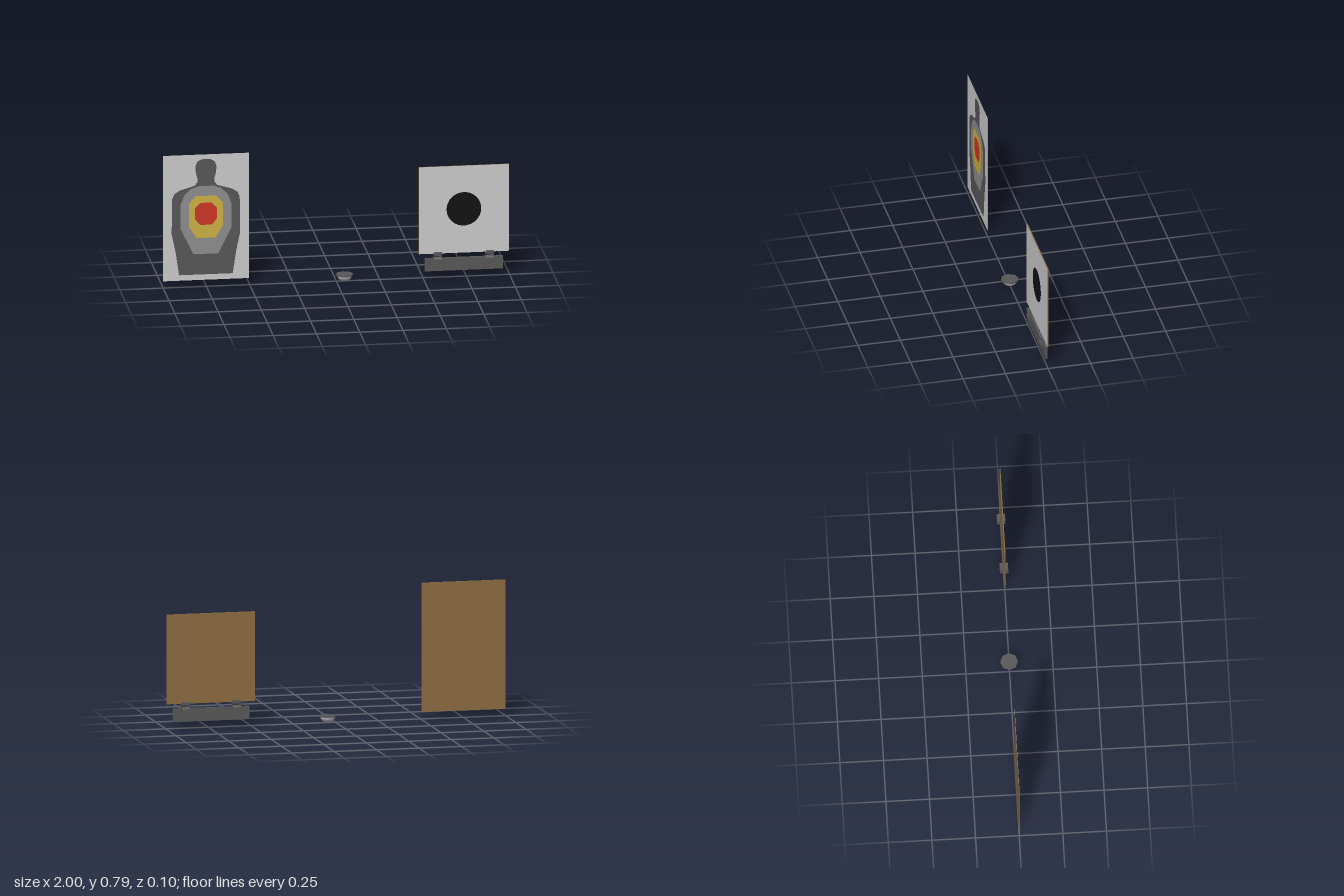
import * as THREE from 'three';

const mat = (name, color, side = THREE.FrontSide) => {
  const m = new THREE.MeshStandardMaterial({ color, side });
  m.name = name;
  return m;
};

export function createModel() {
  const card = mat('paper grey', 0xcacaca);
  const wood = mat('cardboard brown', 0x8b6a3e);
  const dark = mat('dark grey', 0x575757);
  const mid = mat('middle grey', 0x8e8e8e);
  const yellow = mat('yellow', 0xcbb142);
  const red = mat('red', 0xcd3626);
  const black = mat('black', 0x101010);
  const metal = mat('light metal', 0xb8b8b8);

  const root = new THREE.Group();
  const add = (parent, name, geo, material, x = 0, y = 0, z = 0) => {
    const m = new THREE.Mesh(geo, material);
    m.name = name;
    m.position.set(x, y, z);
    parent.add(m);
    return m;
  };
  const group = (name) => {
    const g = new THREE.Group();
    g.name = name;
    root.add(g);
    return g;
  };
  // Outline mirrored about its vertical axis, listed from top to bottom
  const mirrored = (half) => new THREE.Shape([
    ...half.map(([x, y]) => new THREE.Vector2(-x, y)),
    ...half.slice().reverse().map(([x, y]) => new THREE.Vector2(x, y)),
  ]);
  // Sheet with paper front and cardboard back
  const sheet = (parent, w, h, d, edge, x, y) =>
    add(parent, 'board', new THREE.BoxGeometry(w, h, d), [edge, edge, edge, edge, card, wood], x, y, 0);

  // Silhouette target with nested scoring zones
  const silhouette = group('silhouetteTarget');
  sheet(silhouette, 0.495, 0.75, 0.002, mid, -0.7525, 0.415);
  const zones = [
    ['bodySilhouette', dark, [
      [0.025, 0.762], [0.05, 0.748], [0.061, 0.72], [0.058, 0.68], [0.048, 0.645],
      [0.048, 0.627], [0.065, 0.606], [0.15, 0.58], [0.182, 0.56], [0.195, 0.53],
      [0.198, 0.32], [0.175, 0.21], [0.155, 0.073]]],
    ['outerZone', mid, [
      [0.04, 0.602], [0.085, 0.588], [0.125, 0.55], [0.148, 0.49],
      [0.148, 0.35], [0.115, 0.285], [0.072, 0.196]]],
    ['middleZone', yellow, [[0.06, 0.543], [0.097, 0.5], [0.097, 0.36], [0.055, 0.292]]],
    ['centreZone', red, [[0.034, 0.502], [0.063, 0.47], [0.063, 0.405], [0.034, 0.37]]],
  ];
  zones.forEach(([name, material, half], i) =>
    add(silhouette, name, new THREE.ShapeGeometry(mirrored(half)), material, -0.753, 0, 0.0018 + i * 0.0008));

  // Square target with a round bullseye
  const square = group('squareTarget');
  sheet(square, 0.52, 0.52, 0.006, wood, 0.736, 0.402);
  add(square, 'bullseye', new THREE.CircleGeometry(0.1, 40), black, 0.736, 0.404, 0.004);

  // Rail and the two double-ended clips
  const holder = group('targetHolder');
  add(holder, 'rail', new THREE.BoxGeometry(0.45, 0.076, 0.014), dark, 0.735, 0.077, 0);
  const profile = mirrored([
    [0.006, 0.138], [0.006, 0.152], [0.024, 0.152], [0.024, 0.137], [0.021, 0.13],
    [0.014, 0.126], [0.014, 0.124], [0.021, 0.12], [0.024, 0.113], [0.024, 0.1],
    [0.007, 0.1], [0.007, 0.112],
  ]);
  const clipGeo = new THREE.ExtrudeGeometry(profile, { depth: 0.046, bevelEnabled: false });
  clipGeo.translate(0, 0, -0.023).rotateY(Math.PI / 2);
  for (const x of [0.585, 0.885]) add(holder, 'clip', clipGeo, dark, x);

  // Small domed disc resting on the ground
  const dome = group('domeDisc');
  add(dome, 'dome', new THREE.SphereGeometry(0.043, 24, 10, 0, Math.PI * 2, Math.PI / 2, Math.PI / 2),
    metal, 0.047, 0.036, 0).scale.y = 0.84;
  const rimGeo = new THREE.CylinderGeometry(0.051, 0.051, 0.007, 8).toNonIndexed();
  rimGeo.computeVertexNormals();
  add(dome, 'discRim', rimGeo, dark, 0.047, 0.0385, 0);

  return root;
}
